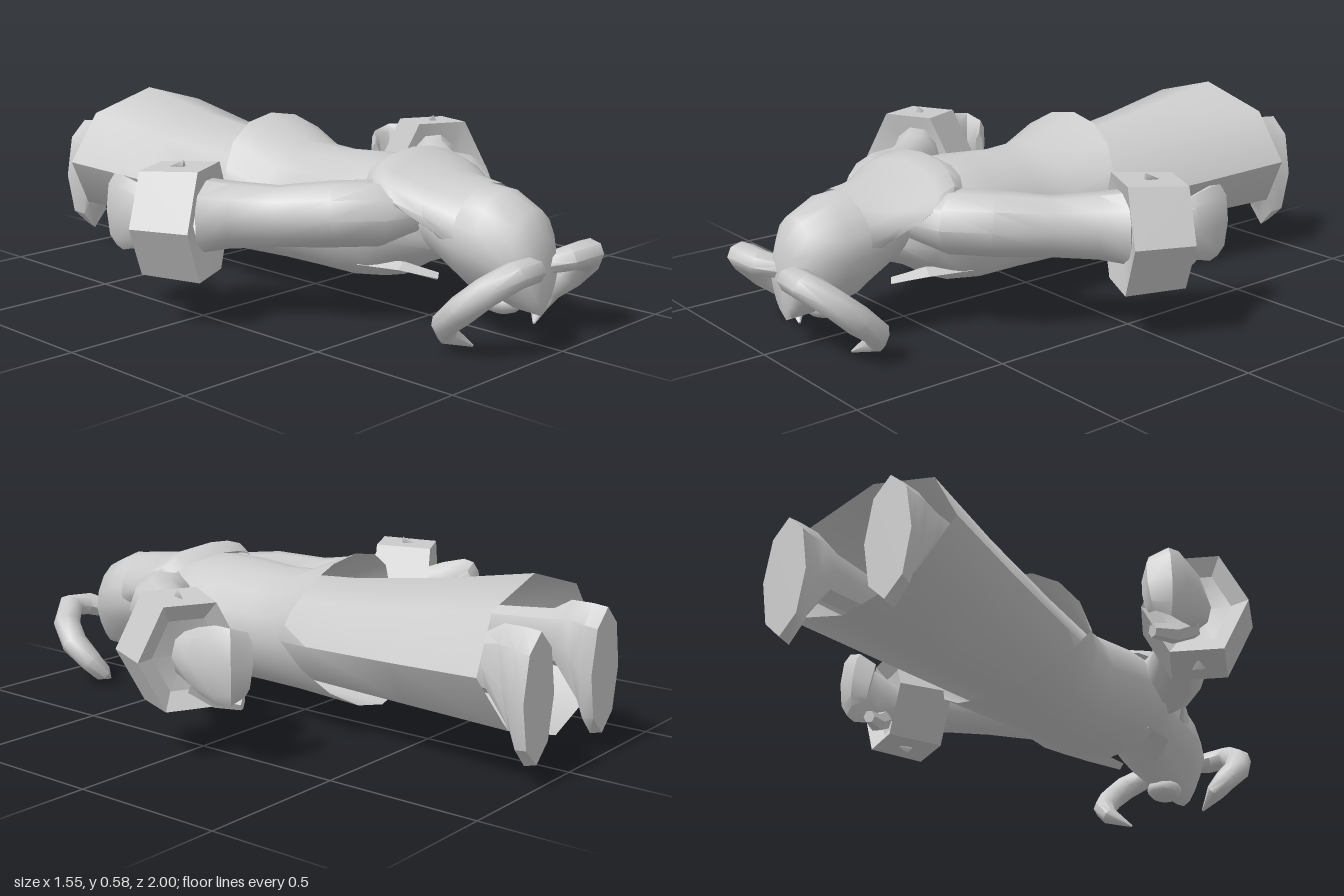
import * as THREE from 'three';
import { toCreasedNormals } from 'three/addons/utils/BufferGeometryUtils.js';

const grey = new THREE.MeshStandardMaterial({ color: 0xcccccc, side: THREE.DoubleSide });

// Skin a list of equal-sized rings, optionally closing either end
function skin(name, rings, capStart, capEnd, crease = 0.75) {
  const n = rings[0].length, pos = [], idx = [];
  const push = (p) => pos.push(p.x, p.y, p.z) / 3 - 1;
  rings.forEach((r) => r.forEach(push));
  for (let j = 0; j < rings.length - 1; j++) {
    for (let i = 0; i < n; i++) {
      const a = j * n + i, b = j * n + (i + 1) % n;
      idx.push(a, a + n, b, b, a + n, b + n);
    }
  }
  const cap = (ring, base, flip) => {
    const c = push(ring.reduce((s, p) => s.add(p), new THREE.Vector3()).divideScalar(n));
    for (let i = 0; i < n; i++) {
      const a = base + i, b = base + (i + 1) % n;
      idx.push(c, flip ? b : a, flip ? a : b);
    }
  };
  if (capStart) cap(rings[0], 0, false);
  if (capEnd) cap(rings[rings.length - 1], (rings.length - 1) * n, true);
  const geo = new THREE.BufferGeometry();
  geo.setAttribute('position', new THREE.Float32BufferAttribute(pos, 3));
  geo.setIndex(idx);
  const mesh = new THREE.Mesh(toCreasedNormals(geo, crease), grey);
  mesh.name = name;
  return mesh;
}

// Body section: z at top / side / bottom, half width, top y, bottom y, narrowing below
function section([zTop, zSide, zBot, w, top, bot, taper = 0], n, cx = 0) {
  return Array.from({ length: n }, (_, i) => {
    const a = (i / n) * Math.PI * 2, s = Math.sin(a);
    const x = cx + w * Math.cos(a) * (1 - taper * Math.max(0, -s));
    const z = zSide + ((s > 0 ? zTop : zBot) - zSide) * Math.abs(s);
    return new THREE.Vector3(x, (top + bot) / 2 + s * (top - bot) / 2, z);
  });
}
const body = (name, list, n, c0, c1, cx, crease) =>
  skin(name, list.map((s) => section(s, n, cx)), c0, c1, crease);

// Limb along a path of [x, y, z, half width, half height]
function limb(name, list, n, crease) {
  const pts = list.map((p) => new THREE.Vector3(p[0], p[1], p[2]));
  const rings = list.map((p, j) => {
    const dir = pts[Math.min(j + 1, pts.length - 1)].clone().sub(pts[Math.max(j - 1, 0)]).normalize();
    const side = dir.clone().cross(new THREE.Vector3(0, 1, 0)).normalize();
    const up = side.clone().cross(dir);
    return Array.from({ length: n }, (_, i) => {
      const a = (i / n) * Math.PI * 2;
      return pts[j].clone().addScaledVector(side, p[3] * Math.cos(a)).addScaledVector(up, p[4] * Math.sin(a));
    });
  });
  return skin(name, rings, true, true, crease);
}

// Hexagonal wrist cuff with recessed ends and small studs
function makeCuff() {
  const cuff = new THREE.Group();
  cuff.name = 'cuff';
  const profile = [[0.07, -0.07], [0.174, -0.095], [0.164, 0.095], [0.11, 0.06], [0, 0.04]]
    .map(([x, y]) => new THREE.Vector2(x, y));
  const ring = new THREE.Mesh(toCreasedNormals(new THREE.LatheGeometry(profile, 6, Math.PI / 2), 0.3), grey);
  ring.name = 'cuffRing';
  ring.scale.z = 1.12;
  cuff.add(ring);
  for (const s of [-1, 1]) {
    const stud = new THREE.Mesh(new THREE.ConeGeometry(0.025, 0.05, 3), grey);
    stud.name = 'cuffStud';
    stud.position.set(0, 0.01, s * 0.16);
    cuff.add(stud);
  }
  // Local y follows the forearm, local z points up or down
  const axis = new THREE.Vector3(0.45, 0, -0.89).normalize(), up = new THREE.Vector3(0, 1, 0);
  cuff.quaternion.setFromRotationMatrix(
    new THREE.Matrix4().makeBasis(axis.clone().cross(up), axis, up));
  cuff.position.set(0.587, 0.33, 0.005);
  return cuff;
}

// Everything on the model's left; mirrored for its right
function makeSide(name) {
  const g = new THREE.Group();
  g.name = name;
  g.add(limb('arm', [
    [0.1, 0.36, 0.5, 0.09, 0.08],
    [0.2, 0.36, 0.45, 0.115, 0.1],
    [0.3, 0.36, 0.37, 0.105, 0.1],
    [0.39, 0.345, 0.23, 0.08, 0.095],
    [0.48, 0.345, 0.11, 0.085, 0.105],
    [0.55, 0.345, 0.04, 0.09, 0.12],
  ], 10));
  g.add(makeCuff());
  // Cupped hand with curled fingers
  g.add(limb('hand', [
    [0.615, 0.33, -0.04, 0.045, 0.07],
    [0.64, 0.33, -0.12, 0.04, 0.1],
    [0.65, 0.33, -0.2, 0.03, 0.12],
    [0.64, 0.33, -0.245, 0.028, 0.115],
    [0.59, 0.33, -0.262, 0.022, 0.095],
    [0.55, 0.32, -0.23, 0.015, 0.07],
  ], 8, 0.9));
  g.add(limb('thumb', [
    [0.62, 0.25, -0.08, 0.03, 0.035],
    [0.59, 0.21, -0.15, 0.03, 0.032],
    [0.56, 0.2, -0.22, 0.02, 0.022],
  ], 6, 0.9));
  // Horn sweeping out and down to a hooked tip
  g.add(limb('horn', [
    [0.04, 0.23, 0.87, 0.035, 0.03],
    [0.1, 0.255, 0.945, 0.05, 0.04],
    [0.18, 0.26, 0.955, 0.048, 0.042],
    [0.245, 0.215, 0.905, 0.047, 0.045],
    [0.27, 0.155, 0.84, 0.047, 0.045],
    [0.255, 0.095, 0.77, 0.042, 0.04],
    [0.225, 0.055, 0.755, 0.036, 0.032],
    [0.15, 0.01, 0.79, 0.004, 0.004],
  ], 8, 0.9));
  // Boot with its sole facing backwards, toes down
  g.add(body('boot', [
    [-0.6, -0.6, -0.6, 0.05, 0.42, 0.28],
    [-0.82, -0.84, -0.85, 0.05, 0.44, 0.26],
    [-0.88, -0.91, -0.94, 0.055, 0.475, 0.13],
    [-0.95, -0.95, -0.96, 0.07, 0.475, 0.07],
    [-1, -1, -1, 0.085, 0.47, 0.08],
  ], 8, true, true, 0.195, 0.6));
  // Lapel flap beside the neck
  g.add(limb('lapel', [
    [0.06, 0.16, 0.58, 0.03, 0.012],
    [0.13, 0.19, 0.5, 0.05, 0.015],
    [0.17, 0.18, 0.36, 0.02, 0.012],
  ], 4, 0.3));
  return g;
}

export function createModel() {
  const model = new THREE.Group();
  model.name = 'hornedFigure';
  // Head with a narrow jaw
  model.add(body('head', [
    [0.92, 0.925, 0.93, 0.07, 0.33, 0.12, 0.3],
    [0.88, 0.885, 0.92, 0.115, 0.41, 0.095, 0.45],
    [0.78, 0.78, 0.8, 0.15, 0.455, 0.1, 0.5],
    [0.69, 0.69, 0.69, 0.155, 0.46, 0.13, 0.4],
    [0.6, 0.6, 0.6, 0.15, 0.46, 0.2, 0.2],
    [0.48, 0.48, 0.48, 0.12, 0.44, 0.24],
  ], 16, true, true, 0, 1));
  const snout = new THREE.Mesh(new THREE.SphereGeometry(1, 12, 8), grey);
  snout.name = 'snout';
  snout.scale.set(0.06, 0.04, 0.07);
  snout.position.set(0, 0.115, 0.78);
  model.add(snout);
  // Hood flaring into a slanted cowl
  model.add(body('cowl', [
    [0.72, 0.71, 0.7, 0.157, 0.462, 0.2, 0.2],
    [0.58, 0.62, 0.68, 0.185, 0.475, 0.27],
    [0.48, 0.53, 0.67, 0.228, 0.51, 0.32],
    [0.42, 0.47, 0.66, 0.232, 0.53, 0.34],
    [0.36, 0.44, 0.64, 0.215, 0.5, 0.34],
  ], 16, false, false, 0, 1));
  // Jacket with pointed hems front and back
  model.add(body('jacket', [
    [0.58, 0.58, 0.6, 0.12, 0.42, 0.22],
    [0.5, 0.5, 0.5, 0.21, 0.47, 0.18],
    [0.4, 0.4, 0.4, 0.25, 0.495, 0.12],
    [0.27, 0.27, 0.27, 0.25, 0.495, 0.1],
    [0.1, 0.1, 0.1, 0.218, 0.485, 0.095],
    [-0.02, -0.02, -0.05, 0.238, 0.49, 0.095],
    [-0.21, -0.12, -0.32, 0.28, 0.565, 0.085],
  ], 16, true, false, 0, 1));
  // Long open skirt
  model.add(body('skirt', [
    [0.1, 0.1, 0.1, 0.2, 0.465, 0.125],
    [-0.2, -0.2, -0.2, 0.245, 0.485, 0.125],
    [-0.55, -0.55, -0.55, 0.292, 0.53, 0.118],
    [-0.86, -0.885, -0.95, 0.342, 0.585, 0.11],
  ], 8, true, false, 0, 1));
  // Mirrored limbs
  const left = makeSide('leftSide'), right = makeSide('rightSide');
  right.scale.x = -1;
  model.add(left, right);
  return model;
}
